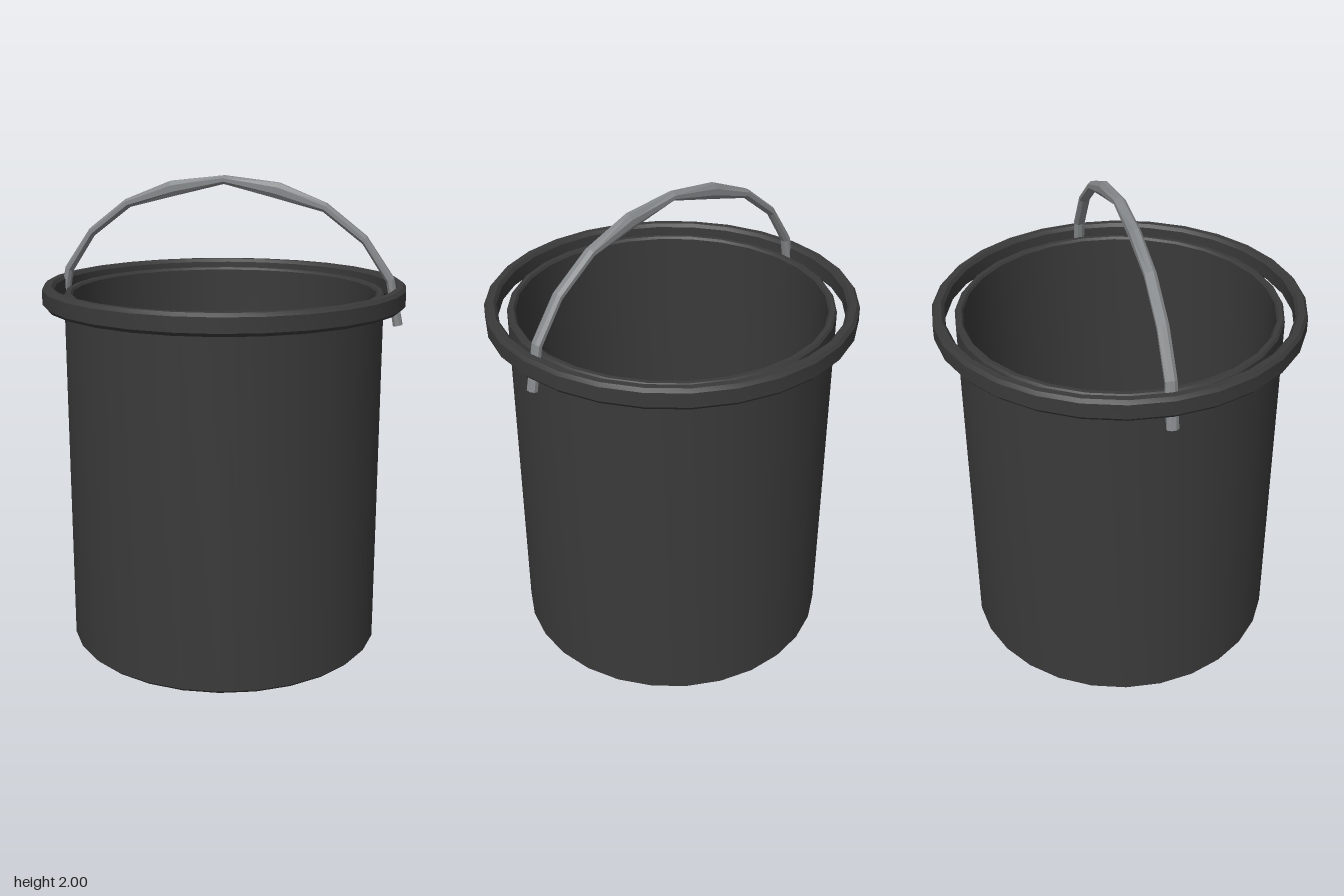
import * as THREE from 'three';
import { toCreasedNormals } from 'three/addons/utils/BufferGeometryUtils.js';

const SIDES = 28;

// Closed profile (radius, height), counter-clockwise, spun around y
function spin(profile) {
  const points = [...profile, profile[0]].map(([r, y]) => new THREE.Vector2(r, y));
  return toCreasedNormals(new THREE.LatheGeometry(points, SIDES), 0.5);
}

// Bail: eight-sided sections, each spanning an outer and an inner point
function bailGeometry() {
  const half = [ // outer x, y, inner x, y
    [0.752, 1.412, 0.715, 1.405],
    [0.712, 1.600, 0.682, 1.582],
    [0.595, 1.768, 0.580, 1.736],
    [0.430, 1.895, 0.415, 1.861],
    [0.232, 1.974, 0.215, 1.912],
  ];
  const mirrored = half.map(([a, b, c, d]) => [-a, b, -c, d]).reverse();
  const stations = [...half, [0, 2, 0, 1.965], ...mirrored];
  const n = 8, position = [], index = [];
  for (const [ox, oy, ix, iy] of stations) {
    for (let j = 0; j < n; j++) {
      const t = ((j + 0.5) / n) * Math.PI * 2;
      const k = Math.cos(t) / Math.cos(Math.PI / n) / 2;
      position.push((ox + ix) / 2 + (ox - ix) * k, (oy + iy) / 2 + (oy - iy) * k, 0.025 * Math.sin(t));
    }
  }
  const last = (stations.length - 1) * n;
  for (let i = 0; i < last; i += n) {
    for (let j = 0; j < n; j++) {
      const m = (j + 1) % n;
      index.push(i + j, i + n + j, i + n + m, i + j, i + n + m, i + m);
    }
  }
  for (let j = 1; j < n - 1; j++) index.push(0, j, j + 1, last, last + j + 1, last + j);
  const indexed = new THREE.BufferGeometry();
  indexed.setAttribute('position', new THREE.Float32BufferAttribute(position, 3));
  indexed.setIndex(index);
  const geometry = indexed.toNonIndexed();
  geometry.computeVertexNormals();
  return geometry;
}

export function createModel() {
  const model = new THREE.Group();
  model.name = 'bucket';
  const black = new THREE.MeshStandardMaterial({ color: 0x3a3a3a });
  black.name = 'dark plastic';
  const floorBlack = new THREE.MeshStandardMaterial({ color: 0x3a3a3a, side: THREE.DoubleSide });
  floorBlack.name = 'dark plastic floor';
  const steel = new THREE.MeshStandardMaterial({ color: 0x85888a });
  steel.name = 'grey metal';

  const add = (name, geometry, material) => {
    const mesh = new THREE.Mesh(geometry, material);
    mesh.name = name;
    model.add(mesh);
    return mesh;
  };

  // Thin cylindrical wall with softened rims
  add('wall', spin([
    [0.660, 0], [0.672, 0.012], [0.672, 1.52], [0.664, 1.53],
    [0.646, 1.53], [0.638, 1.52], [0.638, 0.012], [0.646, 0],
  ]), black);

  // Floor disc, with a few corners cut short of the wall
  const corners = [];
  for (let i = 0; i < SIDES; i++) {
    if ([3, 11, 17, 25].includes(i)) continue;
    const a = (i / SIDES) * Math.PI * 2;
    corners.push(new THREE.Vector2(0.642 * Math.cos(a), 0.642 * Math.sin(a)));
  }
  const floor = add('floor', new THREE.ShapeGeometry(new THREE.Shape(corners)), floorBlack);
  floor.rotation.x = -Math.PI / 2;
  floor.position.y = 0.012;

  // Loose ring standing clear of the wall
  add('ring', spin([
    [0.724, 1.473], [0.750, 1.473], [0.762, 1.487], [0.762, 1.547],
    [0.750, 1.561], [0.724, 1.561], [0.712, 1.547], [0.712, 1.487],
  ]), black);

  // Arched carrying handle
  add('handle', bailGeometry(), steel);

  return model;
}
